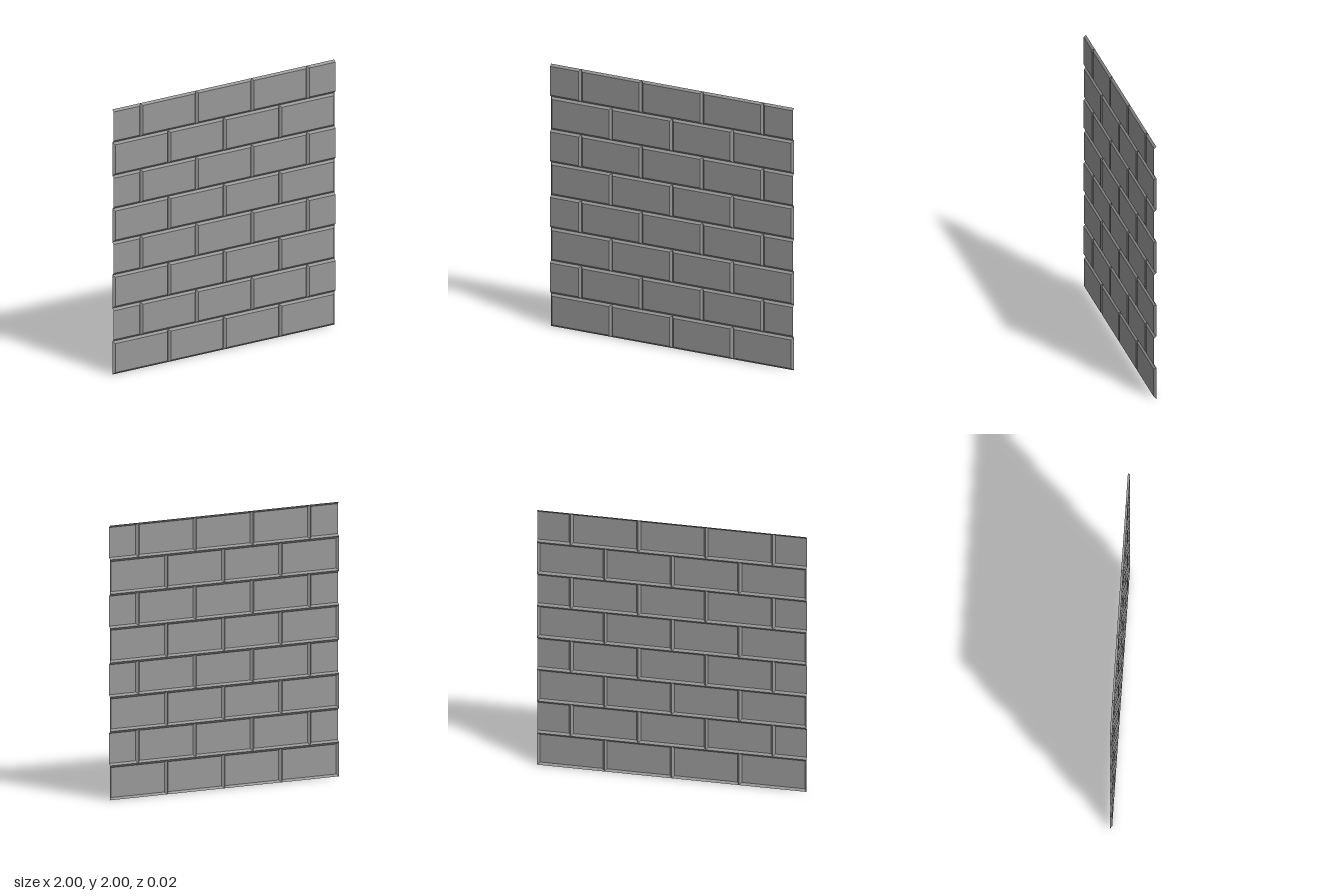
import * as THREE from 'three';

const WIDTH = 2, ROWS = 8, ROW_H = 0.25, BRICK_W = 0.5;
const BEVEL = 0.016, HALF_DEPTH = 0.008;

// One brick face: a raised panel with bevels sloping back into the joints.
// A side bevel of 0 leaves the brick cut square at the wall's edge.
function brickGeometry(x0, x1, y0, y1, bevelLeft, bevelRight) {
  const ring = (l, r, b, z) => [
    [x0 + l, y0 + b, z], [x1 - r, y0 + b, z], [x1 - r, y1 - b, z], [x0 + l, y1 - b, z],
  ];
  const outer = ring(0, 0, 0, -HALF_DEPTH);
  const inner = ring(bevelLeft, bevelRight, BEVEL, HALF_DEPTH);
  const positions = [];
  const quad = (a, b, c, d) => positions.push(...a, ...b, ...c, ...a, ...c, ...d);

  quad(...inner);
  const sloped = [true, bevelRight > 0, true, bevelLeft > 0];
  for (let i = 0; i < 4; i++) {
    const j = (i + 1) % 4;
    if (sloped[i]) quad(outer[i], outer[j], inner[j], inner[i]);
  }
  const geometry = new THREE.BufferGeometry();
  geometry.setAttribute('position', new THREE.Float32BufferAttribute(positions, 3));
  geometry.computeVertexNormals();
  return geometry;
}

export function createModel() {
  const wall = new THREE.Group();
  wall.name = 'brickWall';
  const material = new THREE.MeshStandardMaterial({
    color: 0x979797, flatShading: true, side: THREE.DoubleSide,
  });

  // Running bond: every second course is shifted by half a brick
  for (let row = 0; row < ROWS; row++) {
    const course = new THREE.Group();
    course.name = `course${row + 1}`;
    const shift = row % 2 ? BRICK_W / 2 : 0;
    for (let start = -WIDTH / 2 - shift; start < WIDTH / 2; start += BRICK_W) {
      const end = start + BRICK_W;
      const cutLeft = start < -WIDTH / 2, cutRight = end > WIDTH / 2;
      const brick = new THREE.Mesh(brickGeometry(
        Math.max(start, -WIDTH / 2), Math.min(end, WIDTH / 2),
        row * ROW_H, (row + 1) * ROW_H,
        cutLeft ? 0 : BEVEL, cutRight ? 0 : BEVEL,
      ), material);
      brick.name = cutLeft || cutRight ? 'halfBrick' : 'brick';
      course.add(brick);
    }
    wall.add(course);
  }
  return wall;
}
